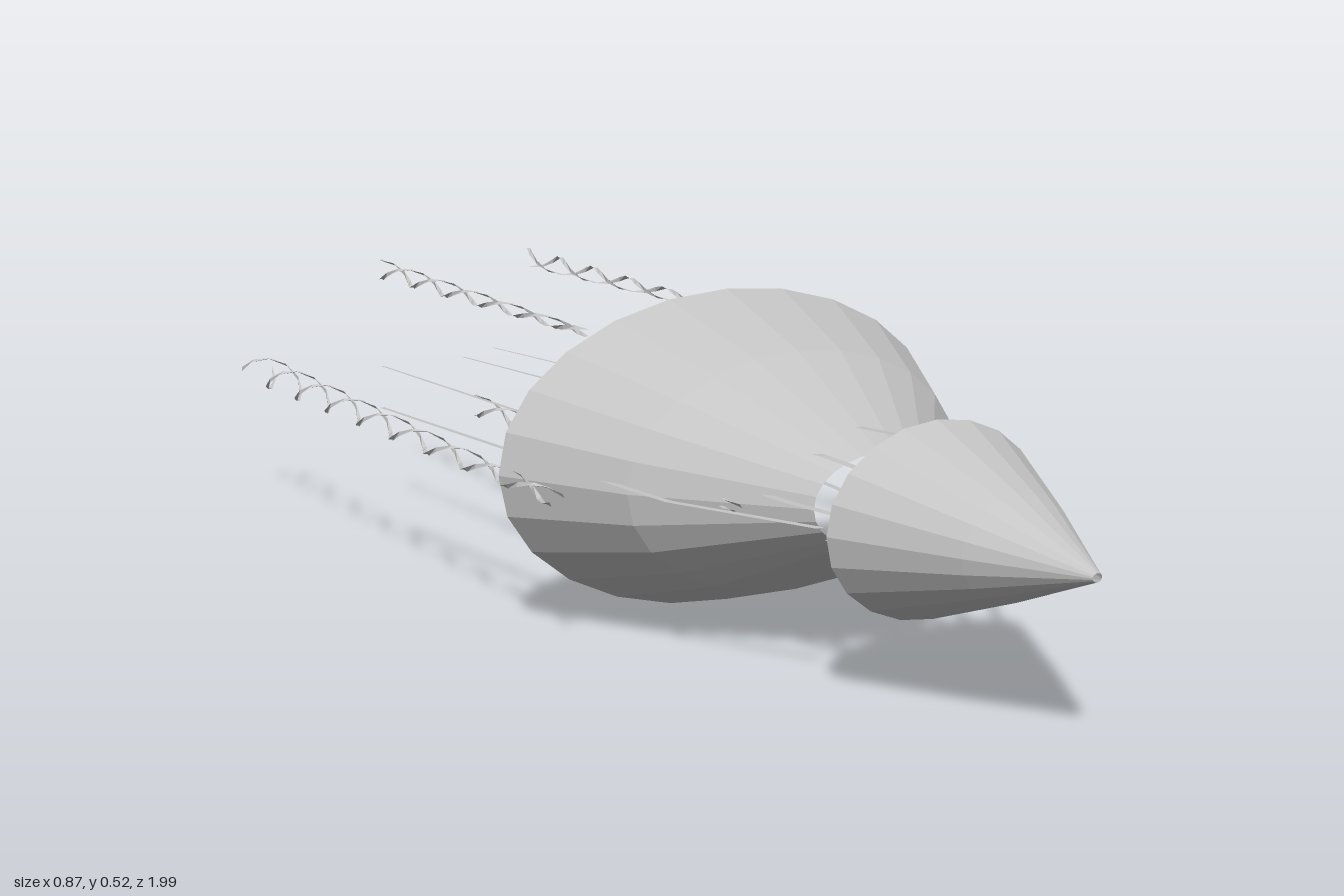
import * as THREE from 'three';

const CY = 0.26; // height of the long axis

export function createModel() {
  const root = new THREE.Group();
  const grey = new THREE.MeshStandardMaterial({ color: 0xc4c4c4, flatShading: true, side: THREE.DoubleSide });
  grey.name = 'shellGrey';

  // Open elliptical shell; rings are [z, rx], ratio squashes the height
  function shell(name, rings, ratio, sides) {
    const g = new THREE.LatheGeometry(rings.map(([z, r]) => new THREE.Vector2(r, z)), sides);
    g.rotateX(Math.PI / 2);
    g.scale(1, ratio, 1);
    const m = new THREE.Mesh(g, grey);
    m.name = name;
    m.position.y = CY;
    root.add(m);
  }
  shell('noseCone', [[0.63, 0.187], [0.82, 0.096], [0.986, 0.008]], 0.787, 20);
  shell('mainBell', [[0.06, 0.413], [0.27, 0.303], [0.49, 0.115]], 0.627, 24);

  // Thin strip between pairs of edge points
  function ribbon(pairs) {
    const g = new THREE.BufferGeometry();
    const index = [];
    for (let i = 0; i < pairs.length - 1; i++) {
      const a = i * 2;
      index.push(a, a + 1, a + 2, a + 1, a + 3, a + 2);
    }
    g.setAttribute('position', new THREE.Float32BufferAttribute(pairs.flat(2), 3));
    g.setIndex(index);
    g.computeVertexNormals();
    return new THREE.Mesh(g, grey);
  }

  // Flat jointed rod through points [x, y, z], narrowing from w0 to w1
  function rod(name, pts, w0, w1, side) {
    const z0 = pts[0][2], length = z0 - pts[pts.length - 1][2];
    const m = ribbon(pts.map(([x, y, z]) => {
      const h = (w0 + (w1 - w0) * (z0 - z) / length) / 2;
      return [[x * side - h, y, z], [x * side + h, y, z]];
    }));
    m.name = name;
    root.add(m);
  }

  // Twisted pair of thin bands, widening towards the rear
  function twist(name, x, y, front, back, ampFront, ampBack, phase, side) {
    const group = new THREE.Group();
    group.name = name;
    const n = Math.round((front - back) / 0.035);
    for (const offset of [0, Math.PI]) {
      const pairs = [];
      for (let i = 0; i <= n; i++) {
        const t = i / n, z = front + (back - front) * t;
        const a = ampFront + (ampBack - ampFront) * t;
        const w = (z - back) / 0.28 * Math.PI * 2 + phase + offset;
        const point = (s) => [
          side * (x + a * Math.cos(w) - s * Math.sin(w)),
          y + a * Math.sin(w) + s * Math.cos(w), z];
        pairs.push([point(-0.004), point(0.004)]);
      }
      group.add(ribbon(pairs));
    }
    root.add(group);
  }

  // Central arched rod
  rod('dorsalRod', [[0, 0.35, 0.64], [0, 0.37, 0.57], [0, 0.36, 0.43], [0, 0.33, 0.06], [0, 0.29, -0.8]], 0.016, 0.004, 1);

  for (const [side, label] of [[1, 'left'], [-1, 'right']]) {
    // Rods trailing from the nose through the bell
    rod(label + 'OuterRod', [[0.17, 0.262, 0.59], [0.295, 0.272, 0.38], [0.345, 0.278, 0.06], [0.385, 0.275, -0.45]], 0.014, 0.008, side);
    rod(label + 'MiddleRod', [[0.115, 0.27, 0.64], [0.155, 0.275, 0.48], [0.2, 0.285, 0.06], [0.25, 0.285, -0.76]], 0.016, 0.005, side);
    rod(label + 'UpperRod', [[0.06, 0.32, 0.64], [0.085, 0.333, 0.47], [0.095, 0.325, 0.06], [0.12, 0.302, -0.68]], 0.016, 0.005, side);
    rod(label + 'LowerRod', [[0.07, 0.205, 0.64], [0.085, 0.21, 0.47], [0.095, 0.222, 0.06], [0.115, 0.212, -0.5]], 0.016, 0.005, side);

    // Twisted streamers
    twist(label + 'LongStreamer', 0.405, 0.258, 0.24, -1, 0.012, 0.03, 0, side);
    twist(label + 'TopStreamer', 0.16, 0.434, -0.12, -0.96, 0.006, 0.019, Math.PI / 2, side);
    twist(label + 'InnerStreamer', 0.207, 0.26, 0.43, -0.45, 0.006, 0.019, Math.PI / 2, side);
  }
  return root;
}
